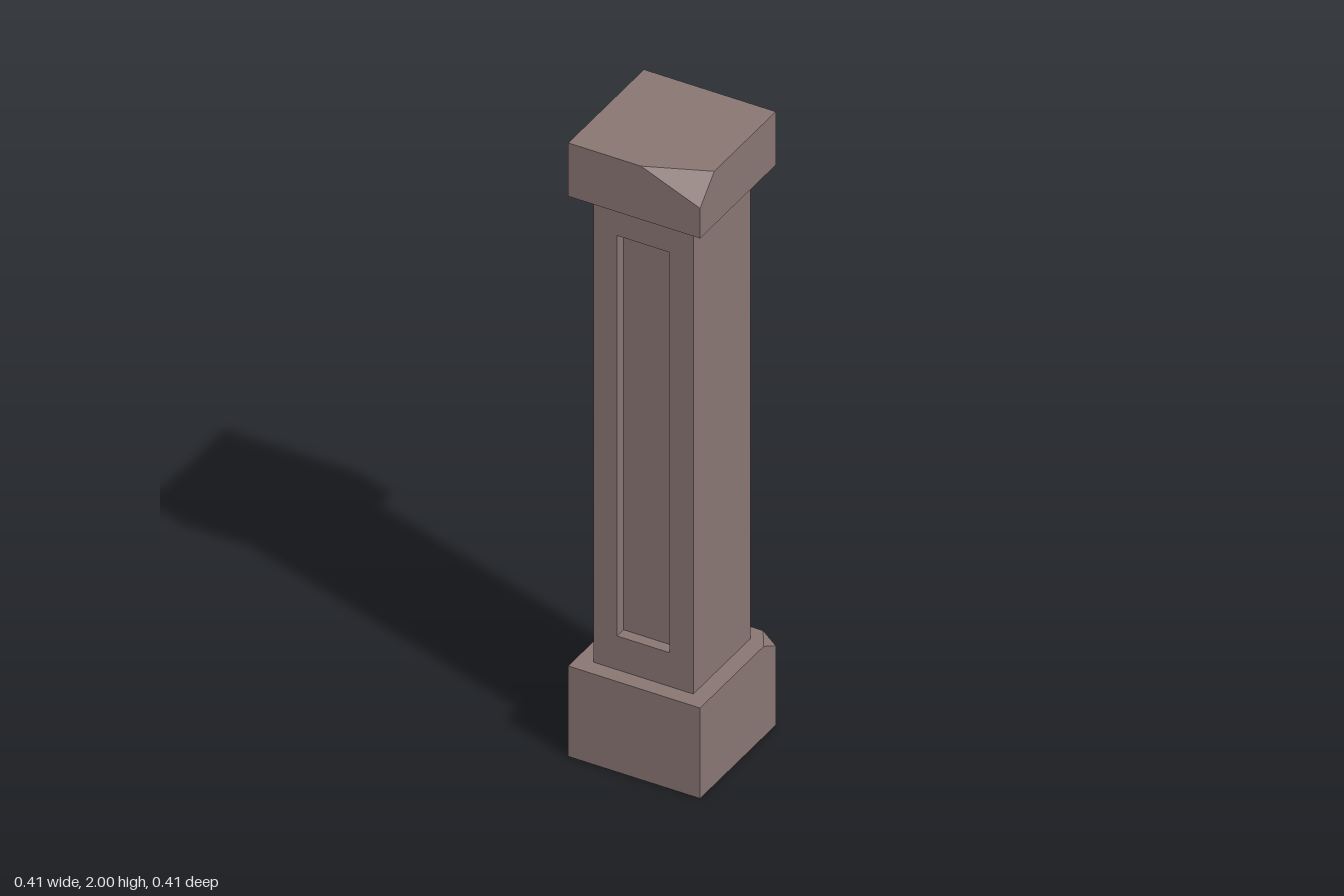
import * as THREE from 'three';
import { ConvexGeometry } from 'three/addons/geometries/ConvexGeometry.js';

const BLOCK = 0.206, SHAFT = 0.156;             // half widths
const BASE_TOP = 0.295, CAP_BOTTOM = 1.826, TOP = 2;
const PANEL = { x: 0.082, y0: 0.405, y1: 1.71, depth: 0.035 };
const CHIP = { y0: 0.765, mid: 0.945, y1: 1.175, x: 0.028, z: 0.05 };

const stone = new THREE.MeshStandardMaterial({ color: 0x8a7774 });
stone.name = 'stone';

// Flat-shaded geometry from convex polygons, corners counter-clockwise
function polygons(list) {
  const pos = [];
  for (const p of list)
    for (let i = 1; i < p.length - 1; i++) pos.push(...p[0], ...p[i], ...p[i + 1]);
  const g = new THREE.BufferGeometry();
  g.setAttribute('position', new THREE.Float32BufferAttribute(pos, 3));
  g.computeVertexNormals();
  return g;
}

function add(parent, name, geometry) {
  const mesh = new THREE.Mesh(geometry, stone);
  mesh.name = name;
  parent.add(mesh);
  return mesh;
}

// Square block with the top corner at (+x, side * z) broken off by a plane
function chippedBlock(y0, y1, side, chipX, chipY, chipZ) {
  const b = BLOCK, pts = [];
  for (const x of [-b, b]) for (const z of [-b, b]) {
    pts.push(new THREE.Vector3(x, y0, z));
    if (x < 0 || z * side < 0) pts.push(new THREE.Vector3(x, y1, z));
  }
  pts.push(
    new THREE.Vector3(b - chipX, y1, b * side),
    new THREE.Vector3(b, y1 - chipY, b * side),
    new THREE.Vector3(b, y1, (b - chipZ) * side)
  );
  return new ConvexGeometry(pts);
}

// One side of the shaft, facing +z; notch = [edge sign, width] cuts a vertical edge
function shaftSide(panelled, notch) {
  const h = SHAFT;
  const right = [], left = [];
  if (notch) {
    const [s, w] = notch;
    const cut = [[s * h, CHIP.y0], [s * (h - w), CHIP.mid], [s * h, CHIP.y1]];
    if (s > 0) right.push(...cut); else left.push(...cut.reverse());
  }
  const outline = [[-h, BASE_TOP], [h, BASE_TOP], ...right, [h, CAP_BOTTOM], [-h, CAP_BOTTOM], ...left];
  const shape = new THREE.Shape(outline.map(p => new THREE.Vector2(...p)));
  const { x, y0, y1, depth } = PANEL;
  const corners = [[-x, y0], [x, y0], [x, y1], [-x, y1]];
  if (panelled)
    shape.holes.push(new THREE.Path(corners.slice().reverse().map(p => new THREE.Vector2(...p))));

  const side = new THREE.Group();
  add(side, 'shaftFace', new THREE.ShapeGeometry(shape)).position.z = h;
  if (panelled) {
    // Recessed panel: four walls and a floor
    const p = corners.map(c => [...c, h]), q = corners.map(c => [...c, h - depth]);
    const walls = p.map((c, i) => [c, p[(i + 1) % 4], q[(i + 1) % 4], q[i]]);
    add(side, 'recessedPanel', polygons([...walls, q]));
  }
  return side;
}

export function createModel() {
  const model = new THREE.Group();
  model.name = 'stonePillar';

  // Base chipped at the back, cap chipped at the front
  add(model, 'base', chippedBlock(0, BASE_TOP, -1, 0.04, 0.036, 0.066));
  add(model, 'cap', chippedBlock(CAP_BOTTOM, TOP, 1, 0.185, 0.076, 0.077));

  // Shaft sides: front, +x, back, -x
  const shaft = new THREE.Group();
  shaft.name = 'shaft';
  const sides = [
    ['shaftFront', true, null],
    ['shaftLeft', false, null],
    ['shaftBack', true, [1, CHIP.x]],
    ['shaftRight', false, [-1, CHIP.z]]
  ];
  sides.forEach(([name, panelled, notch], i) => {
    const side = shaftSide(panelled, notch);
    side.name = name;
    side.rotation.y = i * Math.PI / 2;
    shaft.add(side);
  });

  // Broken edge of the shaft
  const h = SHAFT;
  const onBack = [-h + CHIP.x, CHIP.mid, -h], onSide = [-h, CHIP.mid, -h + CHIP.z];
  add(shaft, 'edgeChip', polygons([
    [[-h, CHIP.y1, -h], onBack, onSide],
    [[-h, CHIP.y0, -h], onSide, onBack]
  ]));
  model.add(shaft);
  return model;
}
